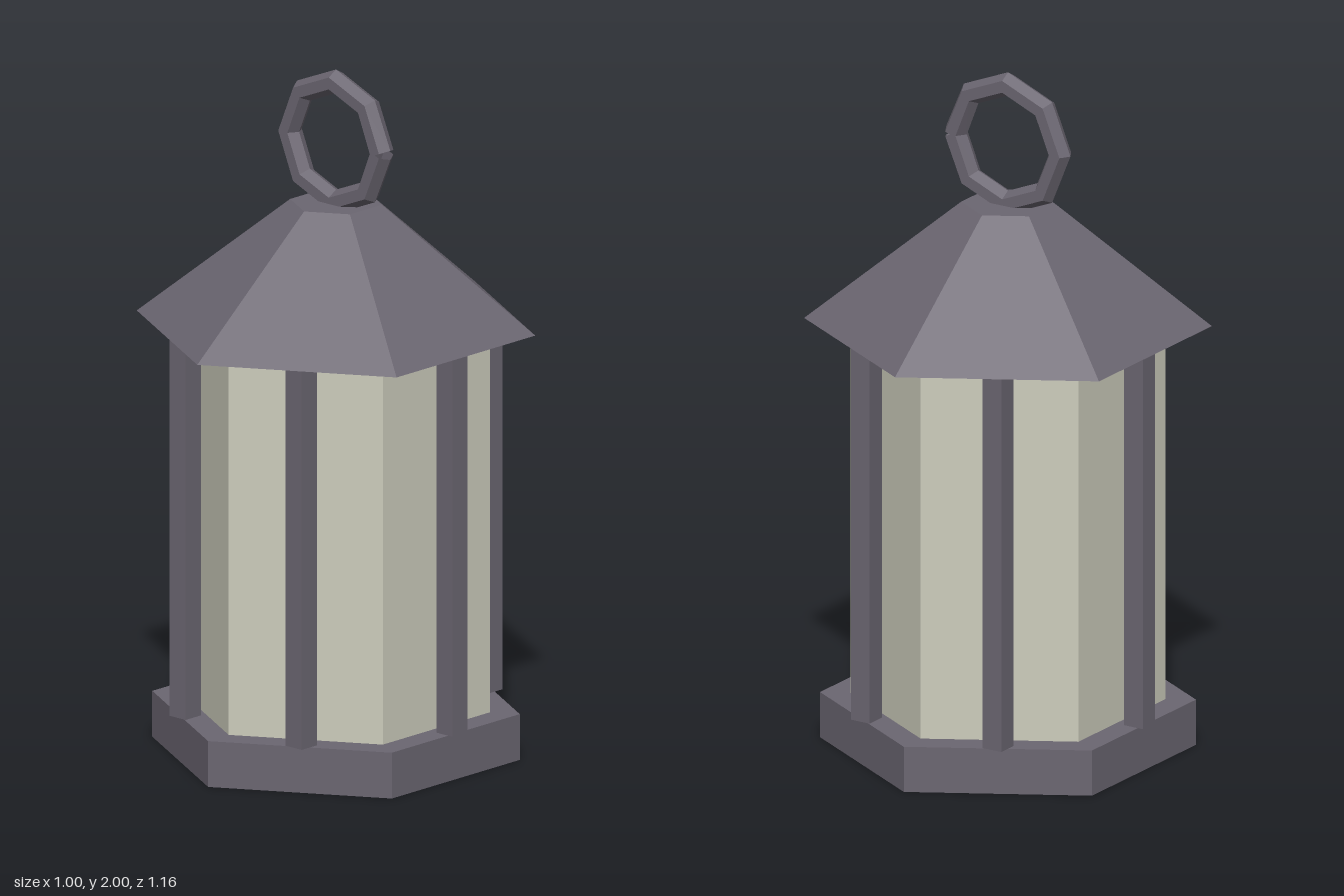
import * as THREE from 'three';

const metal = new THREE.MeshStandardMaterial({ color: 0x6b6671, flatShading: true });
const ringMetal = metal.clone();
ringMetal.side = THREE.DoubleSide;
const pane = new THREE.MeshStandardMaterial({ color: 0xccccbc, flatShading: true });

function add(group, name, geometry, material, x, y, z) {
  const mesh = new THREE.Mesh(geometry, material);
  mesh.name = name;
  mesh.position.set(x, y, z);
  group.add(mesh);
  return mesh;
}

// Six-sided drum or cone between two heights, with corners on the z axis
function hexPart(group, name, rTop, rBottom, y0, y1, material) {
  add(group, name, new THREE.CylinderGeometry(rTop, rBottom, y1 - y0, 6), material, 0, (y0 + y1) / 2, 0);
}

// Eight-sided ring whose two square-cut ends meet in a small notch at +x
function ringGeometry(radius, tube) {
  const sides = 6, segments = 8;
  const geometry = new THREE.TorusGeometry(radius, tube, sides, segments);
  const pos = geometry.attributes.position;
  for (let j = 0; j <= sides; j++) {
    for (const [i, tilt] of [[0, Math.PI / segments], [segments, -Math.PI / segments]]) {
      const k = j * (segments + 1) + i;
      const offset = tube * Math.cos((j / sides) * Math.PI * 2);
      pos.setX(k, radius + offset * Math.cos(tilt));
      pos.setY(k, offset * Math.sin(tilt));
    }
  }
  geometry.computeVertexNormals();
  return geometry;
}

export function createModel() {
  const lantern = new THREE.Group();
  lantern.name = 'lantern';

  // Body
  hexPart(lantern, 'base', 0.533, 0.533, 0, 0.135, metal);
  hexPart(lantern, 'glass', 0.447, 0.447, 0.135, 1.253, pane);
  hexPart(lantern, 'roof', 0.133, 0.578, 1.253, 1.61, metal);

  // Square posts, one in front of each pane
  const posts = new THREE.Group();
  posts.name = 'posts';
  for (let i = 0; i < 6; i++) {
    const a = (i * Math.PI) / 3;
    add(posts, 'post', new THREE.BoxGeometry(0.063, 1.118, 0.063), metal,
      0.447 * Math.cos(a), 0.694, 0.447 * Math.sin(a));
  }
  lantern.add(posts);

  // Hanging ring
  add(lantern, 'hangingRing', ringGeometry(0.177, 0.035), ringMetal, 0, 1.788, 0);

  return lantern;
}
